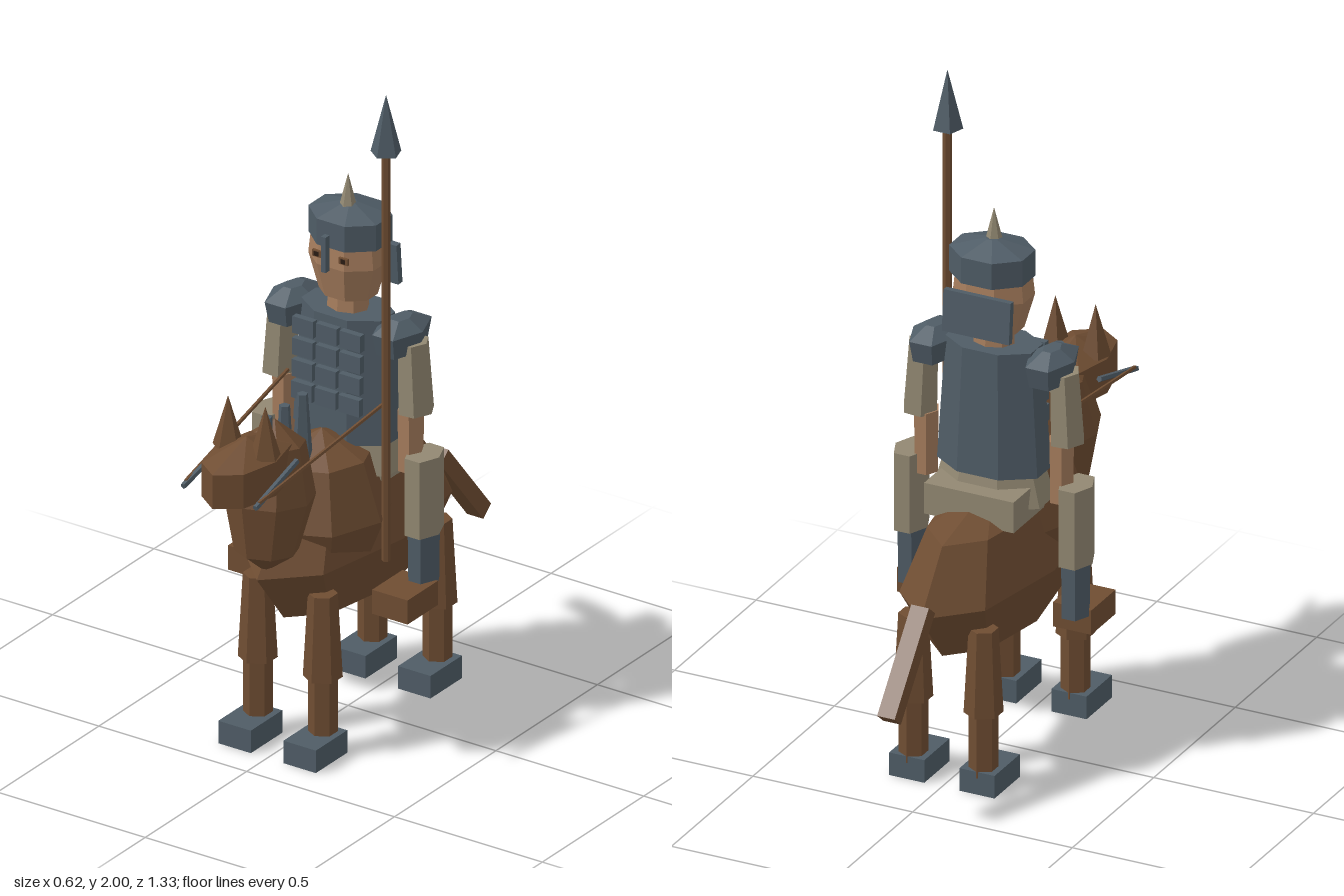
import * as THREE from 'three';

const material = (name, color) => {
  const m = new THREE.MeshStandardMaterial({ color });
  m.name = name;
  return m;
};

export function createModel() {
  const model = new THREE.Group();
  model.name = 'mountedSpearman';
  const brown = material('brown', 0x6f4d32);
  const steel = material('steel', 0x4f5c66);
  const tan = material('tan', 0x928872);
  const skin = material('skin', 0xa67d5d);
  const dark = material('dark', 0x2a1c14);

  // Every part is faceted
  const add = (name, geometry, mat, x = 0, y = 0, z = 0) => {
    const geo = geometry.index ? geometry.toNonIndexed() : geometry;
    geo.computeVertexNormals();
    const mesh = new THREE.Mesh(geo, mat);
    mesh.name = name;
    mesh.position.set(x, y, z);
    model.add(mesh);
    return mesh;
  };
  const box = (name, mat, size, pos) => add(name, new THREE.BoxGeometry(...size), mat, ...pos);
  const blob = (name, mat, radii, pos, rings = 4) =>
    add(name, new THREE.SphereGeometry(1, 8, rings).scale(...radii), mat, ...pos);
  // Upright tapered prism between heights y0 and y1
  const prism = (name, mat, rTop, rBottom, y0, y1, x, z, sides = 6, depth = 1, turn = 0) =>
    add(name, new THREE.CylinderGeometry(rTop, rBottom, y1 - y0, sides).rotateY(turn).scale(1, 1, depth),
      mat, x, (y0 + y1) / 2, z);
  // Thin rod between two points
  const rod = (name, mat, a, b, radius) => {
    const p = new THREE.Vector3(...a), q = new THREE.Vector3(...b);
    const mesh = add(name, new THREE.CylinderGeometry(radius, radius, p.distanceTo(q), 5), mat);
    mesh.position.copy(p).lerp(q, 0.5);
    mesh.quaternion.setFromUnitVectors(new THREE.Vector3(0, 1, 0), q.sub(p).normalize());
    return mesh;
  };

  // Horse body, neck and head
  blob('horseBody', brown, [0.19, 0.24, 0.45], [0, 0.575, 0]);
  blob('horseChest', brown, [0.2, 0.24, 0.22], [0, 0.68, 0.13]);
  blob('horseNeck', brown, [0.125, 0.23, 0.14], [0, 0.815, 0.385]).rotation.x = -0.1;
  blob('horseHead', brown, [0.115, 0.105, 0.195], [0, 0.94, 0.5], 3);
  const tail = box('tail', brown, [0.055, 0.33, 0.05], [0, 0.475, -0.54]);
  tail.rotation.x = 0.69;
  [[0.4, 1.0, 0.018], [0.313, 0.96, 0.022], [0.225, 0.87, 0.03]].forEach(([z, y, r]) =>
    prism('maneTuft', steel, 0.016, r, y, 1.065, 0, z, 5));

  // Horse legs, ears and reins
  for (const s of [-1, 1]) {
    for (const z of [0.285, -0.28]) {
      prism('horseUpperLeg', brown, 0.042, 0.056, 0.24, 0.5, s * 0.11, z);
      prism('horseLowerLeg', brown, 0.042, 0.042, 0.05, 0.26, s * 0.11, z);
      box('hoof', steel, [0.11, 0.07, 0.155], [s * 0.11, 0.035, z + 0.037]);
    }
    prism('ear', brown, 0, 0.045, 1.0, 1.155, s * 0.063, 0.5, 5);
    rod('rein', brown, [s * 0.17, 1.02, 0.05], [s * 0.124, 0.92, 0.62], 0.006);
    rod('bit', steel, [s * 0.115, 0.968, 0.42], [s * 0.122, 0.91, 0.635], 0.009);
  }

  // Saddle
  box('saddle', tan, [0.28, 0.095, 0.2], [0, 0.793, -0.055]);

  // Rider torso with armour plates
  prism('skirt', tan, 0.14, 0.18, 0.78, 0.92, 0, 0, 8, 0.68, Math.PI / 8);
  prism('torso', steel, 0.145, 0.17, 0.87, 1.25, 0, 0, 8, 0.65, Math.PI / 8);
  for (let row = 0; row < 4; row++) {
    for (const column of [-1, 0, 1]) {
      box('armourPlate', steel, [0.07, 0.052, 0.02],
        [column * 0.08, 1.2 - row * 0.066, 0.098 + row * 0.002]);
    }
  }

  // Neck, head and face
  prism('neck', skin, 0.06, 0.065, 1.23, 1.32, 0, 0, 8, 0.85);
  const headProfile = [[0, 1.29], [0.088, 1.295], [0.119, 1.4], [0.11, 1.48], [0, 1.48]]
    .map(p => new THREE.Vector2(...p));
  add('head', new THREE.LatheGeometry(headProfile, 8).rotateY(Math.PI / 8).scale(1, 1, 0.8), skin);
  for (const s of [-1, 1]) {
    box('eye', brown, [0.03, 0.02, 0.008], [s * 0.045, 1.433, 0.087]);
    box('pupil', dark, [0.015, 0.013, 0.006], [s * 0.045, 1.433, 0.09]);
  }

  // Helmet
  prism('helmetBand', steel, 0.124, 0.124, 1.46, 1.54, 0, -0.011, 8, 0.85, Math.PI / 8);
  prism('helmetCrown', steel, 0.02, 0.124, 1.54, 1.57, 0, -0.011, 8, 0.85, Math.PI / 8);
  prism('helmetSpike', tan, 0, 0.026, 1.555, 1.66, 0, 0);
  box('noseGuard', steel, [0.016, 0.11, 0.02], [0, 1.455, 0.113]);
  box('neckGuard', steel, [0.21, 0.125, 0.02], [0, 1.365, -0.1]).rotation.x = 0.08;

  // Shoulders, arms, legs and boots
  for (const s of [-1, 1]) {
    prism('shoulderGuard', steel, 0.07, 0.06, 1.17, 1.235, s * 0.182, 0, 6, 1.58, Math.PI / 6);
    prism('shoulderCap', steel, 0.025, 0.07, 1.235, 1.265, s * 0.182, 0, 6, 1.58, Math.PI / 6);
    prism('sleeve', tan, 0.045, 0.052, 0.985, 1.2, s * 0.225, 0, 6, 1.1, Math.PI / 6).rotation.z = s * 0.05;
    prism('forearm', skin, 0.038, 0.036, 0.8, 0.99, s * 0.212, 0, 6, 1.15, Math.PI / 6);
    prism('trouserLeg', tan, 0.05, 0.05, 0.62, 0.86, s * 0.258, 0, 6, 1.4, Math.PI / 6);
    prism('shinGuard', steel, 0.043, 0.041, 0.455, 0.63, s * 0.256, 0, 6, 1.3, Math.PI / 6);
    box('boot', brown, [0.12, 0.075, 0.15], [s * 0.244, 0.437, 0.075]);
  }

  // Spear
  prism('spearShaft', brown, 0.013, 0.013, 0.55, 1.83, 0.197, 0.1);
  prism('spearTip', steel, 0, 0.045, 1.82, 2, 0.197, 0.1, 5);

  return model;
}
